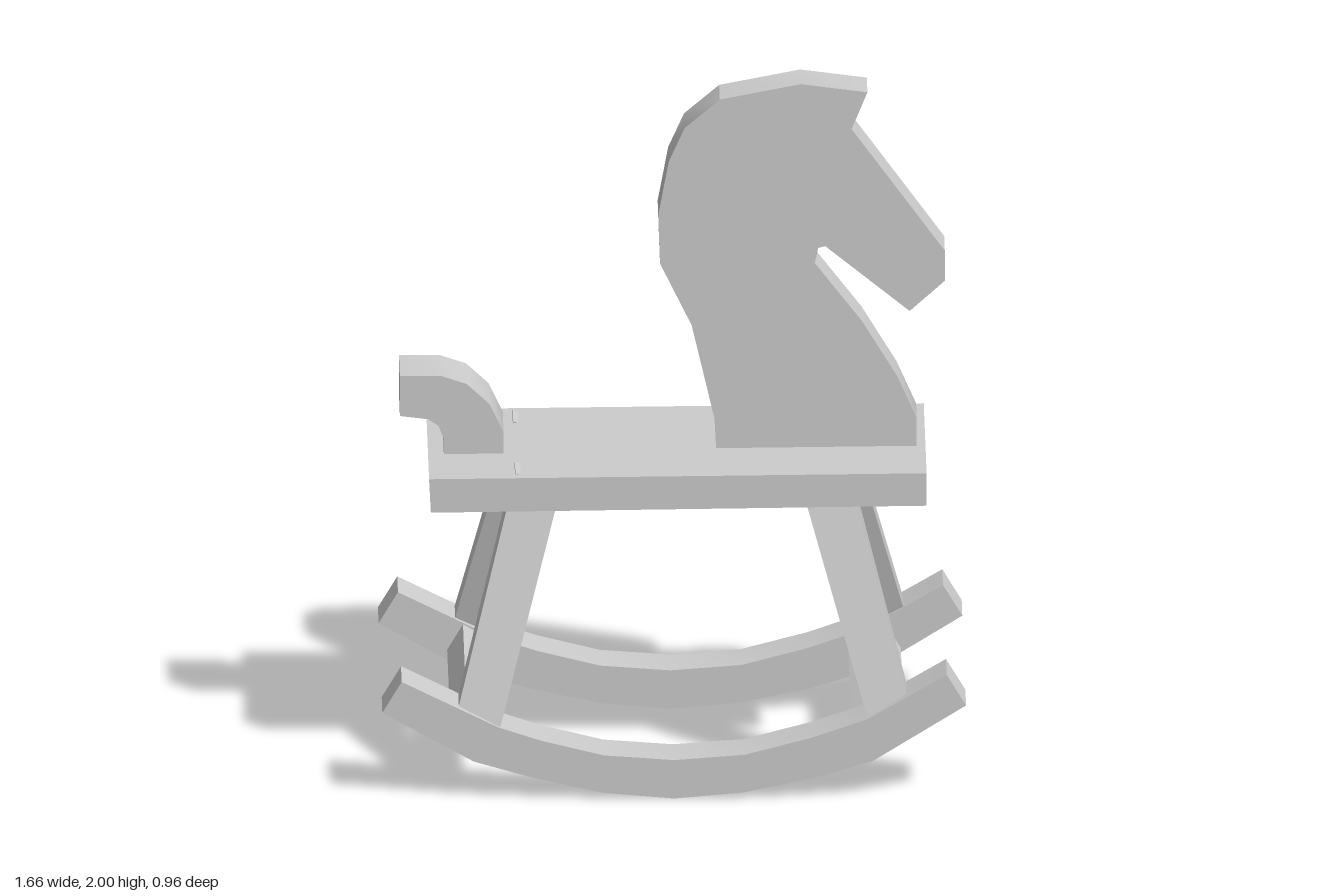
import * as THREE from 'three';
import { toCreasedNormals } from 'three/addons/utils/BufferGeometryUtils.js';

// Board cut from an outline in the xy plane, centred on z
function board(points, thickness, crease = 0) {
  const shape = new THREE.Shape(points.map(([x, y]) => new THREE.Vector2(x, y)));
  const geometry = new THREE.ExtrudeGeometry(shape, { depth: thickness, bevelEnabled: false });
  geometry.translate(0, 0, -thickness / 2);
  return crease ? toCreasedNormals(geometry, crease) : geometry;
}

export function createModel() {
  const model = new THREE.Group();
  model.name = 'rockingHorse';
  const material = new THREE.MeshStandardMaterial({ color: 0xcccccc });
  const add = (name, geometry, z = 0) => {
    const mesh = new THREE.Mesh(geometry, material);
    mesh.name = name;
    mesh.position.z = z;
    model.add(mesh);
  };

  // Head and neck
  add('head', board([
    [0.125, 0.9], [0.12, 1.0], [0.055, 1.28], [-0.035, 1.465], [-0.04, 1.61],
    [-0.01, 1.77], [0.035, 1.87], [0.135, 1.955], [0.365, 2.0], [0.555, 1.975],
    [0.51, 1.865], [0.775, 1.5], [0.775, 1.41], [0.675, 1.32], [0.435, 1.515],
    [0.415, 1.51], [0.405, 1.465], [0.54, 1.29], [0.64, 1.125], [0.695, 1.0], [0.695, 0.9],
  ], 0.135, 0.5));

  // Seat, tilted very slightly
  add('seat', board([[-0.69, 0.805], [0.72, 0.82], [0.72, 0.917], [-0.695, 0.905]], 0.64));

  // Curled tail
  add('tail', board([
    [-0.65, 0.89], [-0.65, 0.95], [-0.665, 0.99], [-0.695, 1.01], [-0.775, 1.02],
    [-0.775, 1.14], [-0.66, 1.14], [-0.585, 1.115], [-0.52, 1.055], [-0.48, 0.97], [-0.48, 0.89],
  ], 0.19, 0.6), -0.003);

  // Curved runners
  const runner = board([
    [-0.83, 0.26], [-0.57, 0.113], [-0.4, 0.063], [-0.2, 0.018], [0, 0], [0.2, 0.018],
    [0.395, 0.06], [0.565, 0.11], [0.83, 0.275], [0.775, 0.367], [0.55, 0.235],
    [0.39, 0.18], [0.2, 0.13], [0, 0.115], [-0.2, 0.13], [-0.38, 0.175],
    [-0.5, 0.215], [-0.775, 0.352],
  ], 0.145, 0.5);

  // Legs: splayed outwards by shearing z with height
  const legOutlines = {
    back: [[-0.62, 0.24], [-0.5, 0.19], [-0.32, 0.87], [-0.449, 0.912]],
    front: [[0.56, 0.2], [0.675, 0.25], [0.505, 0.89], [0.365, 0.87]],
  };
  function leg(outline, side) {
    const geometry = board(outline, 0.106);
    const p = geometry.attributes.position;
    for (let i = 0; i < p.count; i++) {
      p.setZ(i, p.getZ(i) + side * (0.262 + (0.81 - p.getY(i)) * 0.265));
    }
    geometry.computeVertexNormals();
    return geometry;
  }

  for (const [sideName, side] of [['left', -1], ['right', 1]]) {
    add(sideName + 'Runner', runner, side * 0.41);
    add(sideName + 'BackLeg', leg(legOutlines.back, side));
    add(sideName + 'FrontLeg', leg(legOutlines.front, side));
  }

  // Cross bars between the runners
  add('frontCrossBar', board([[0.55, 0.12], [0.655, 0.18], [0.61, 0.255], [0.505, 0.195]], 0.72));
  add('backCrossBar', board([[-0.53, 0.12], [-0.485, 0.195], [-0.59, 0.255], [-0.635, 0.18]], 0.72));

  return model;
}
